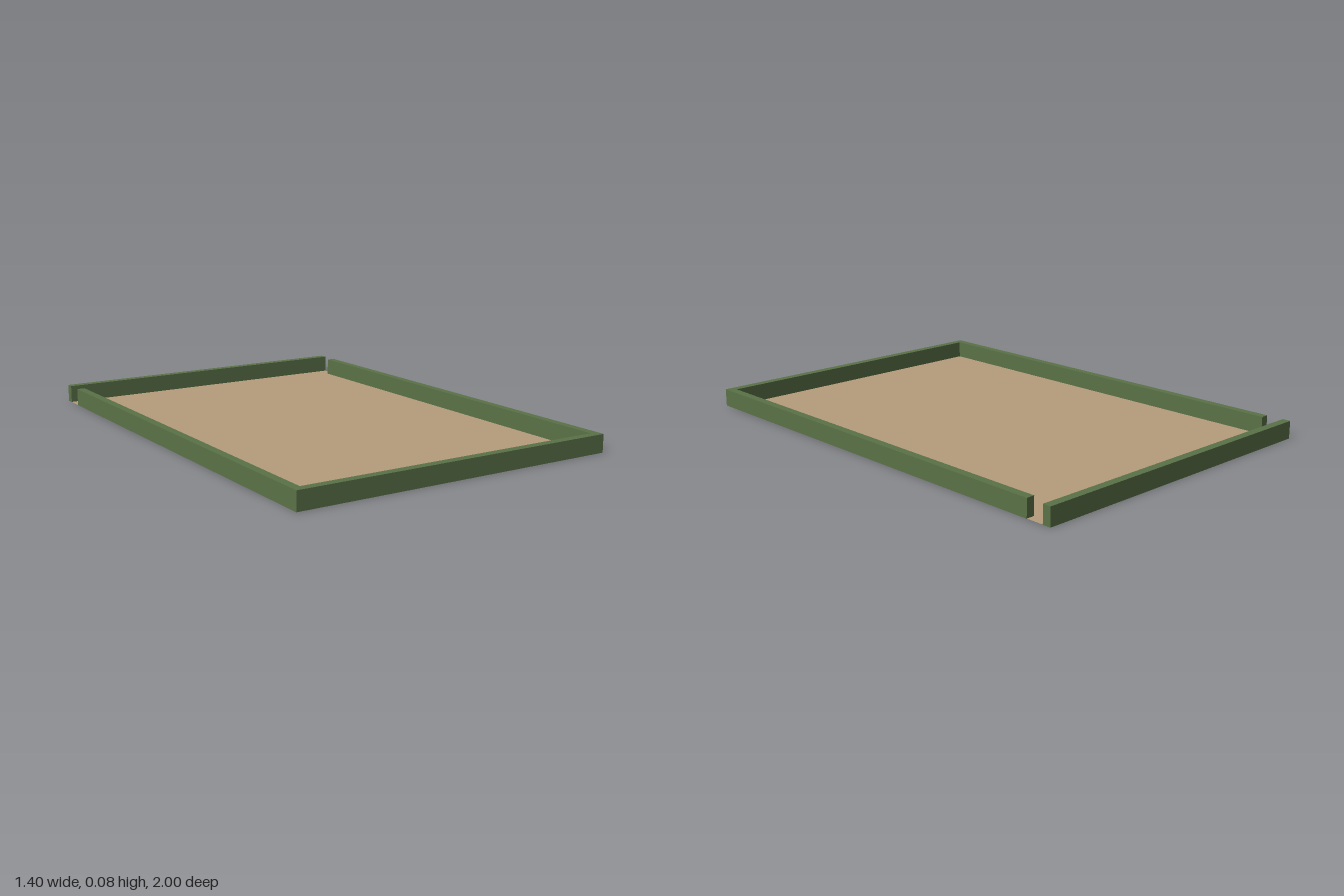
import * as THREE from 'three';

const W = 1.4, L = 2, H = 0.075, T = 0.035, GAP_END = -0.89;

export function createModel() {
  const group = new THREE.Group();
  const green = new THREE.MeshStandardMaterial({ color: 0x5a7247 });
  green.name = 'green border';
  const sand = new THREE.MeshStandardMaterial({ color: 0xb59d7b, side: THREE.DoubleSide });
  sand.name = 'sand floor';

  // Paper-thin floor, a hair above the wall undersides
  const floor = new THREE.Mesh(new THREE.PlaneGeometry(W, L).rotateX(-Math.PI / 2), sand);
  floor.name = 'floor';
  floor.position.y = 0.001;
  group.add(floor);

  const wall = (name, w, d, x, z) => {
    const mesh = new THREE.Mesh(new THREE.BoxGeometry(w, H, d), green);
    mesh.name = name;
    mesh.position.set(x, H / 2, z);
    group.add(mesh);
  };

  // End walls span the full width
  wall('frontWall', W, T, 0, L / 2 - T / 2);
  wall('backWall', W, T, 0, -L / 2 + T / 2);

  // Side walls stop short of the back wall, leaving an opening at each rear corner
  const sideEnd = L / 2 - T;
  for (const [name, s] of [['leftWall', 1], ['rightWall', -1]]) {
    wall(name, T, sideEnd - GAP_END, s * (W / 2 - T / 2), (sideEnd + GAP_END) / 2);
  }
  return group;
}
